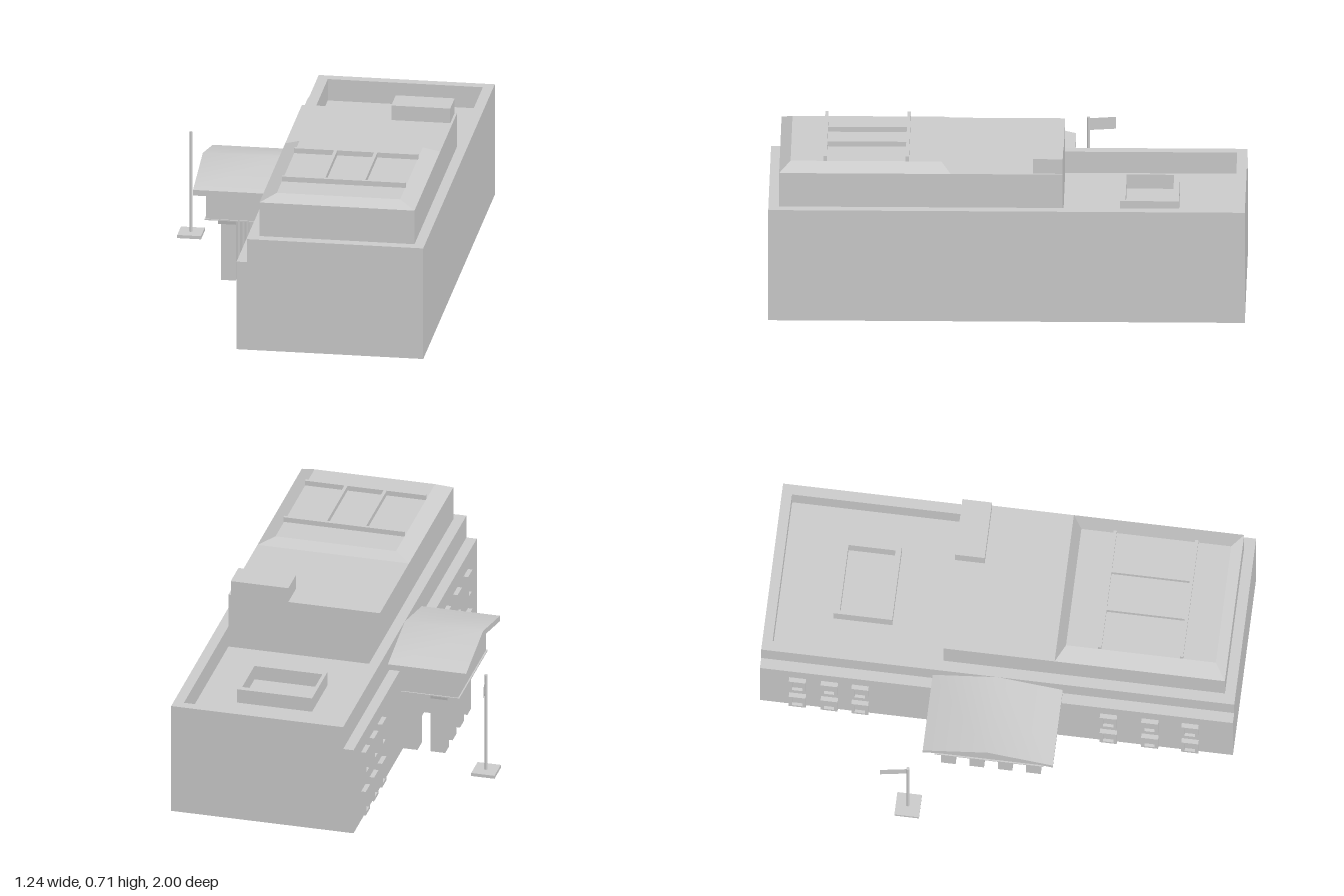
import * as THREE from 'three';
import { toCreasedNormals } from 'three/addons/utils/BufferGeometryUtils.js';
import { ConvexGeometry } from 'three/addons/geometries/ConvexGeometry.js';

export function createModel() {
  const model = new THREE.Group();
  const material = new THREE.MeshStandardMaterial({ color: 0xcccccc });
  const thin = new THREE.MeshStandardMaterial({ color: 0xcccccc, side: THREE.DoubleSide });

  function add(name, geometry, mat = material) {
    const mesh = new THREE.Mesh(geometry, mat);
    mesh.name = name;
    model.add(mesh);
    return mesh;
  }

  // Box given by its limits on each axis
  function box(name, x0, x1, y0, y1, z0, z1) {
    const mesh = add(name, new THREE.BoxGeometry(x1 - x0, y1 - y0, z1 - z0));
    mesh.position.set((x0 + x1) / 2, (y0 + y1) / 2, (z0 + z1) / 2);
    return mesh;
  }

  // Upright rectangular frame; outer and inner are [x0, x1, z0, z1]
  function ringGeometry(outer, inner, y0, y1) {
    const corners = ([x0, x1, z0, z1]) => [[x0, -z1], [x1, -z1], [x1, -z0], [x0, -z0]]
      .map(([x, y]) => new THREE.Vector2(x, y));
    const shape = new THREE.Shape(corners(outer));
    shape.holes.push(new THREE.Path(corners(inner)));
    return new THREE.ExtrudeGeometry(shape, { depth: y1 - y0, bevelEnabled: false })
      .rotateX(-Math.PI / 2).translate(0, y0, 0);
  }

  // Profile of [z, y] points pulled along x
  function alongX(points, x0, x1) {
    const shape = new THREE.Shape(points.map(([z, y]) => new THREE.Vector2(-z, y)));
    return new THREE.ExtrudeGeometry(shape, { depth: x1 - x0, bevelEnabled: false })
      .rotateY(Math.PI / 2).translate(x0, 0, 0);
  }

  // Hollow main building, open below, with a stepped-in parapet
  add('mainWalls', ringGeometry([-0.175, 0.617, -1, 1], [-0.125, 0.573, -0.95, 0.95], 0.005, 0.397));
  box('roofDeck', -0.126, 0.574, 0.39, 0.405, -0.955, 0.955);
  add('parapet', ringGeometry([-0.13, 0.617, -1, 1], [-0.085, 0.573, -0.957, 0.955], 0.397, 0.5));

  // Raised upper storey with its bevelled roof
  box('upperStorey', -0.085, 0.573, 0.4, 0.65, -0.235, 0.955);
  const roofPoints = [];
  for (const [x0, x1, y, z0, z1] of [[-0.085, 0.573, 0.65, 0.235, 0.955], [-0.018, 0.505, 0.68, 0.275, 0.908]]) {
    for (const x of [x0, x1]) for (const z of [z0, z1]) roofPoints.push(new THREE.Vector3(x, y, z));
  }
  add('bevelledRoof', new ConvexGeometry(roofPoints));

  // Roof rails
  for (const z of [0.418, 0.763]) box('longRail', -0.018, 0.507, 0.675, 0.702, z - 0.007, z + 0.007);
  for (const x of [0.158, 0.328]) box('crossRail', x - 0.007, x + 0.007, 0.675, 0.702, 0.42, 0.76);

  // Rooftop box and skylight curb
  box('rooftopUnit', 0.313, 0.563, 0.64, 0.715, -0.235, -0.11);
  add('skylightCurb', ringGeometry([0.08, 0.405, -0.72, -0.472], [0.095, 0.39, -0.695, -0.496], 0.4, 0.468));

  // Portico: gabled roof, pediment, columns and wall piers
  const gable = alongX([
    [0.275, 0.41], [0.275, 0.435], [0, 0.5], [-0.275, 0.435], [-0.275, 0.41], [0, 0.475],
  ], -0.47, -0.128);
  add('porticoRoof', toCreasedNormals(gable, 0.6));
  add('pediment', alongX([
    [0.225, 0.29], [0.225, 0.422], [0, 0.476], [-0.225, 0.422], [-0.225, 0.29],
  ], -0.422, -0.13));
  box('porticoSoffit', -0.428, -0.175, 0.286, 0.291, -0.23, 0.23);
  for (const z of [-0.18, -0.06, 0.06, 0.18]) {
    box('column', -0.362, -0.298, 0.015, 0.288, z - 0.031, z + 0.031);
    add('columnCapital', alongX([
      [z + 0.031, 0.265], [z + 0.036, 0.287], [z - 0.036, 0.287], [z - 0.031, 0.265],
    ], -0.373, -0.298));
  }
  for (const z of [-0.17, 0.17]) box('wallPier', -0.24, -0.174, 0.01, 0.288, z - 0.035, z + 0.035);

  // Framed windows in two rows on the entrance side
  for (const z of [-0.84, -0.705, -0.575, 0.475, 0.65, 0.82]) {
    for (const y of [0.085, 0.27]) {
      const frame = add('windowFrame', ringGeometry(
        [-0.056, 0.056, -0.036, 0.036], [-0.042, 0.042, -0.022, 0.022], 0, 0.02).rotateZ(Math.PI / 2));
      frame.position.set(-0.175, y, z);
      box('windowPane', -0.182, -0.174, y - 0.044, y + 0.044, z - 0.024, z + 0.024);
    }
  }

  // Flagpole with a plinth and a plain flag
  box('flagpoleBase', -0.62, -0.519, 0.01, 0.024, -0.376, -0.272);
  add('flagpole', new THREE.CylinderGeometry(0.007, 0.007, 0.47, 12)).position.set(-0.57, 0.235, -0.325);
  const flag = add('flag', new THREE.PlaneGeometry(0.115, 0.053), thin);
  flag.position.set(-0.58, 0.437, -0.383);
  flag.rotation.y = Math.atan2(-0.115, 0.018) + Math.PI;

  return model;
}
